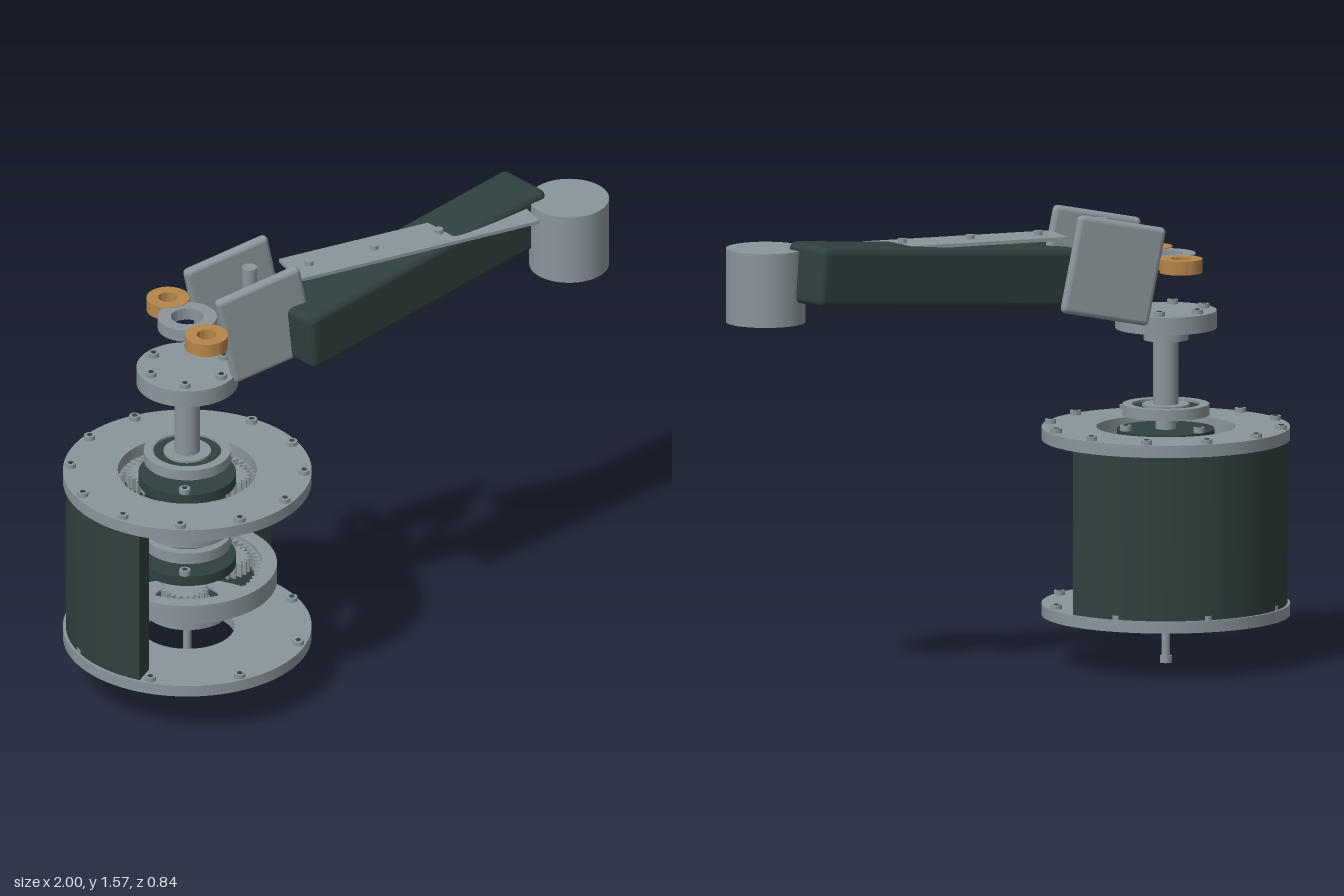
import * as THREE from 'three';
import { toCreasedNormals } from 'three/addons/utils/BufferGeometryUtils.js';
import { RoundedBoxGeometry } from 'three/addons/geometries/RoundedBoxGeometry.js';

const mat = (name, color) => {
  const m = new THREE.MeshStandardMaterial({ color });
  m.name = name;
  return m;
};

export function createModel() {
  const steel = mat('steel grey', 0x8a959b);
  const dark = mat('dark green grey', 0x2f403e);
  const bronze = mat('bronze', 0xb5854a);

  const model = new THREE.Group();
  model.name = 'gearboxArm';
  const spindle = new THREE.Group(); // everything on the main axis
  spindle.name = 'gearbox';
  spindle.position.x = -0.58;
  model.add(spindle);

  const add = (parent, name, geo, material, x = 0, y = 0, z = 0) => {
    const mesh = new THREE.Mesh(geo, material);
    mesh.name = name;
    mesh.position.set(x, y, z);
    parent.add(mesh);
    return mesh;
  };
  // Upright cylinder between two heights
  const cyl = (parent, name, r, y0, y1, material = steel, x = 0, z = 0, seg = 48) =>
    add(parent, name, new THREE.CylinderGeometry(r, r, y1 - y0, seg), material, x, (y0 + y1) / 2, z);
  // Flat shape raised between two heights
  const raise = (parent, name, shape, y0, y1, material = steel, x = 0, z = 0) => {
    const geo = new THREE.ExtrudeGeometry(shape, { depth: y1 - y0, bevelEnabled: false, curveSegments: 48 });
    geo.rotateX(-Math.PI / 2);
    return add(parent, name, toCreasedNormals(geo, 0.4), material, x, y0, z);
  };
  const circle = (r, type = THREE.Shape) => new type().absarc(0, 0, r, 0, Math.PI * 2, false);
  const toothed = (n, root, tip, type = THREE.Shape) => {
    const pts = [];
    for (let i = 0; i < n * 4; i++) {
      const a = (i / (n * 4)) * Math.PI * 2, r = i % 4 < 2 ? root : tip;
      pts.push(new THREE.Vector2(Math.cos(a) * r, Math.sin(a) * r));
    }
    return new type(pts);
  };
  const ring = (parent, name, r, hole, y0, y1, material = steel, x = 0, z = 0) => {
    const s = circle(r);
    s.holes.push(circle(hole, THREE.Path));
    return raise(parent, name, s, y0, y1, material, x, z);
  };
  // Circle of cap screws with dark sockets
  const bolts = (name, n, radius, y, size, height, offset = 0) => {
    const g = new THREE.Group();
    g.name = name;
    for (let i = 0; i < n; i++) {
      const a = offset + (i / n) * Math.PI * 2, x = Math.cos(a) * radius, z = Math.sin(a) * radius;
      cyl(g, 'screw', size, y, y + height, steel, x, z, 16);
      cyl(g, 'screwSocket', size * 0.5, y + height, y + height + 0.002, dark, x, z, 6);
    }
    spindle.add(g);
  };

  // Housing: end plates and partial drum wall
  ring(spindle, 'bottomPlate', 0.42, 0.16, 0.165, 0.205);
  ring(spindle, 'topPlate', 0.42, 0.235, 0.765, 0.807);
  const a0 = THREE.MathUtils.degToRad(19.5), a1 = THREE.MathUtils.degToRad(220.3);
  const wall = new THREE.Shape();
  wall.absarc(0, 0, 0.41, a0, a1, false);
  wall.absarc(0, 0, 0.33, a1, a0, true);
  wall.closePath();
  raise(spindle, 'drumWall', wall, 0.205, 0.765, dark);
  bolts('topPlateScrews', 12, 0.395, 0.807, 0.019, 0.015);
  bolts('bottomPlateScrews', 8, 0.395, 0.205, 0.019, 0.015);

  // Two planetary stages: ring gear, sun, planets and carrier
  const stage = (y0, y1) => {
    const g = new THREE.Group();
    g.name = 'planetaryStage';
    spindle.add(g);
    const gear = circle(0.303);
    gear.holes.push(toothed(60, 0.25, 0.23, THREE.Path));
    raise(g, 'ringGear', gear, y0, y1 - 0.015);
    ring(g, 'ringGearRim', 0.303, 0.253, y1 - 0.015, y1);
    raise(g, 'sunGear', toothed(20, 0.064, 0.078), y0 + 0.01, y1 - 0.01);
    for (let i = 0; i < 3; i++) {
      const a = (i / 3) * Math.PI * 2;
      raise(g, 'planetGear', toothed(20, 0.066, 0.08), y0 + 0.01, y1 - 0.01,
        steel, Math.cos(a) * 0.15, Math.sin(a) * 0.15);
    }
    cyl(g, 'carrier', 0.165, y1, y1 + 0.035, dark);
    bolts('carrierScrews', 3, 0.145, y1 + 0.035, 0.019, 0.018);
    cyl(g, 'carrierShaft', 0.035, y1 + 0.03, y1 + 0.1);
  };
  stage(0.38, 0.45);
  stage(0.695, 0.765);

  // Ball bearings: outer race, recessed seal, inner race
  for (const [y0, y1] of [[0.27, 0.305], [0.525, 0.565], [0.585, 0.622], [0.848, 0.885]]) {
    ring(spindle, 'bearingOuterRace', 0.147, 0.115, y0, y1);
    ring(spindle, 'bearingSeal', 0.117, 0.078, y0 + 0.008, y1 - 0.008, dark);
    ring(spindle, 'bearingInnerRace', 0.08, 0.012, y0, y1);
  }
  cyl(spindle, 'bearingSpacer', 0.07, 0.56, 0.59);

  // Input rod, output shaft and flange
  cyl(spindle, 'inputRod', 0.014, 0.01, 0.72, steel, 0, 0, 24);
  cyl(spindle, 'inputRodTip', 0.02, 0, 0.024, steel, 0, 0, 24);
  cyl(spindle, 'outputShaft', 0.043, 0.87, 1.11);
  cyl(spindle, 'flangeCollar', 0.076, 1.105, 1.145);
  cyl(spindle, 'outputFlange', 0.172, 1.145, 1.205);
  bolts('flangeScrews', 6, 0.137, 1.205, 0.019, 0.015);

  // Floating centre ring with a bronze bushing on each side
  ring(spindle, 'centreRing', 0.1, 0.055, 1.357, 1.4);
  for (const s of [-1, 1]) ring(spindle, 'bushing', 0.073, 0.033, 1.355, 1.402, bronze, 0, s * 0.145);

  // Tilted side plates and the pivot pin between them
  for (const s of [-1, 1]) {
    const plate = add(model, 'sidePlate', new RoundedBoxGeometry(0.32, 0.338, 0.038, 4, 0.018),
      steel, -0.345, 1.371, s * 0.12);
    plate.rotation.z = 0.2;
  }
  cyl(model, 'pivotPin', 0.026, 1.205, 1.532, steel, -0.345, 0, 32);

  // Arm beam, swung back and raised
  const arm = add(model, 'armBeam', new RoundedBoxGeometry(1.085, 0.205, 0.212, 4, 0.025), dark, 0.26, 1.372, 0);
  arm.rotation.set(0, THREE.MathUtils.degToRad(15.6), THREE.MathUtils.degToRad(5.5), 'YZX');

  // Top strap with three screws, and the end weight
  add(model, 'strap', new THREE.BoxGeometry(0.905, 0.012, 0.157), steel, 0.2575, 1.481, 0);
  for (const x of [-0.12, 0.125, 0.37]) cyl(model, 'strapScrew', 0.015, 1.487, 1.502, steel, x, 0, 16);
  cyl(model, 'endWeight', 0.135, 1.245, 1.497, steel, 0.862, 0, 64);

  return model;
}
